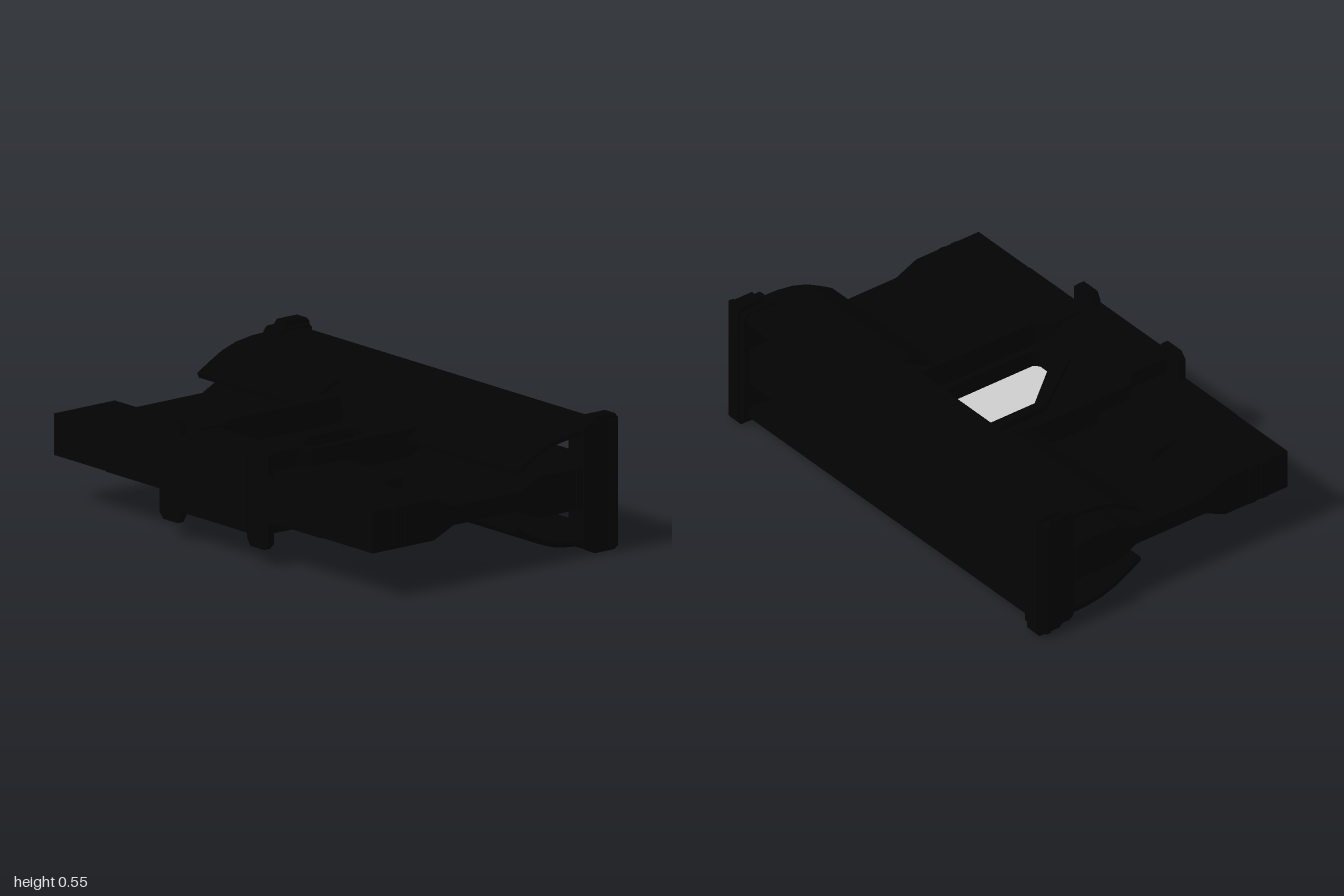
import * as THREE from 'three';

const MID = 0.275; // the body is symmetrical above and below this height

export function createModel() {
  const model = new THREE.Group();
  const black = new THREE.MeshStandardMaterial({ color: 0x030303 });
  black.name = 'black shell';
  const grey = new THREE.MeshStandardMaterial({ color: 0xcecece });
  grey.name = 'light grey pane';

  const add = (name, geo, mat = black) => {
    const mesh = new THREE.Mesh(geo, mat);
    mesh.name = name;
    model.add(mesh);
    return mesh;
  };
  const box = (name, x0, x1, y0, y1, z0, z1) => {
    const g = new THREE.BoxGeometry(x1 - x0, y1 - y0, z1 - z0);
    g.translate((x0 + x1) / 2, MID + (y0 + y1) / 2, (z0 + z1) / 2);
    return add(name, g);
  };
  const makeShape = (pts, holes = []) => {
    const vectors = (list) => list.map(([a, b]) => new THREE.Vector2(a, b));
    const s = new THREE.Shape(vectors(pts));
    holes.forEach((h) => s.holes.push(new THREE.Path(vectors(h))));
    return s;
  };
  // side profile of [z, y] points swept from x0 to x1
  const sweepX = (name, pts, x0, x1) => {
    const g = new THREE.ExtrudeGeometry(makeShape(pts.map(([z, y]) => [-z, y])),
      { depth: x1 - x0, bevelEnabled: false });
    g.rotateY(Math.PI / 2).translate(x0, MID, 0);
    return add(name, g);
  };
  // plan outline of [x, z] points raised from y0 to y1; holes wind the other way
  const raiseY = (name, pts, y0, y1, holes = [], mat = black) => {
    const neg = (list) => list.map(([x, z]) => [x, -z]);
    const g = new THREE.ExtrudeGeometry(makeShape(neg(pts), holes.map((h) => neg(h).reverse())),
      { depth: y1 - y0, bevelEnabled: false });
    g.rotateX(-Math.PI / 2).translate(0, MID + y0, 0);
    return add(name, g, mat);
  };
  const span = (s, a, b) => (s > 0 ? [a, b] : [-b, -a]);
  const mirrorY = (half) => [...half, ...half.map(([z, y]) => [z, -y]).reverse()];

  // Wing slabs: thick at the nose, waisted, thick again at the rear
  const wing = mirrorY([[0.618, 0.083], [0.31, 0.083], [0.21, 0.038],
    [-0.13, 0.038], [-0.22, 0.083], [-0.58, 0.083]]);
  for (const s of [1, -1]) {
    sweepX('wingSlab', wing, ...span(s, 0.29, 0.968));
    box('wingPanel', ...span(s, 0.3, 0.65), -0.086, 0.086, 0.2, 0.53);
    box('wingNose', ...span(s, 0.2, 0.65), -0.086, 0.086, 0.535, 0.618);
    for (const z of [0.44, 0.5, -0.42]) {
      box('endBracket', ...span(s, 0.95, 0.975), -0.08, 0.08, z - 0.015, z + 0.015);
    }
  }
  box('rearSpine', -0.29, 0.29, -0.083, 0.083, -0.58, -0.27);

  // Central frame: a raised wall open at the nose, with a stepped well inside
  raiseY('wellWall', [[-0.31, 0.36], [-0.31, -0.26], [-0.29, -0.28], [0.27, -0.28],
    [0.29, -0.26], [0.29, 0.36], [0.25, 0.41], [0.25, 0.615], [0.2, 0.615], [0.2, 0.4],
    [0.258, 0.34], [0.258, -0.25], [-0.26, -0.25], [-0.26, 0.34], [-0.2, 0.4],
    [-0.2, 0.615], [-0.25, 0.615], [-0.25, 0.41]], -0.153, 0.153);
  for (const s of [1, -1]) {
    const y = span(s, 0.11, 0.162);
    box('rearRidge', -0.3, 0.28, ...y, -0.29, -0.24);
    for (const side of [1, -1]) {
      box('wallPad', ...span(side, 0.2, 0.26), ...y, 0.4, 0.53);
    }
  }

  // Well floor with a narrow slot, raised rim and the pane set in it
  const opening = [[-0.09, -0.17], [-0.07, -0.19], [0.18, -0.19], [0.2, -0.17],
    [0.2, 0.28], [0.18, 0.3], [0.12, 0.3], [0.09, 0.28], [-0.09, 0.06]];
  const slot = [[0.254, -0.22], [0.257, -0.22], [0.257, 0.3], [0.254, 0.3]];
  raiseY('wellFloor', [[-0.3, -0.28], [0.28, -0.28], [0.28, 0.4], [-0.3, 0.4]],
    -0.045, 0.045, [opening, slot]);
  raiseY('paneRim', [[-0.13, -0.23], [0.23, -0.23], [0.23, 0.36], [0.07, 0.36],
    [-0.13, 0.08]], -0.075, 0.075, [opening]);
  raiseY('pane', opening, -0.004, 0.004, [], grey);
  box('noseFloor', -0.3, 0.3, -0.083, 0.083, 0.365, 0.615);

  // Nose block and its upright fins
  sweepX('noseBlock', mirrorY([[0.623, 0.153], [0.43, 0.153], [0.36, 0.07]]), -0.21, 0.21);
  for (const s of [1, -1]) {
    const fin = [[0.2, 0.17], [0.22, 0.205], [0.305, 0.205], [0.33, 0.18]];
    const g = new THREE.ExtrudeGeometry(makeShape(mirrorY(fin).map(([x, y]) => [s * x, y])),
      { depth: 0.03, bevelEnabled: false });
    add('noseFin', g.translate(0, MID, 0.585));
  }

  // Curved fenders and rear rails, above and below
  const outer = [[-0.105, 0.122], [-0.16, 0.155], [-0.23, 0.192], [-0.3, 0.215],
    [-0.38, 0.227], [-0.46, 0.229]];
  const inner = outer.map(([z, y]) => [z - 0.008, y - 0.019]).reverse();
  const middle = [[-0.28, 0.21], [-0.38, 0.227], [-0.46, 0.229],
    [-0.46, 0.207], [-0.38, 0.206], [-0.28, 0.192]];
  const rail = [[-0.44, 0.229], [-0.48, 0.243], [-0.575, 0.243], [-0.59, 0.23],
    [-0.59, 0.2], [-0.57, 0.19], [-0.44, 0.205]];
  for (const s of [1, -1]) {
    const turn = (pts) => pts.map(([z, y]) => [z, s * y]);
    for (const side of [1, -1]) {
      sweepX('fender', turn([...outer, ...inner]), ...span(side, 0.31, 0.968));
    }
    sweepX('fenderMiddle', turn(middle), -0.31, 0.31);
    sweepX('rearRail', turn(rail), -0.9, 0.9);
  }

  // End pillars: a deep plate, a taller core and a wide chamfered back cap
  const plate = mirrorY([[-0.443, 0.235], [-0.46, 0.252], [-0.6, 0.252], [-0.61, 0.24]]);
  const core = mirrorY([[-0.485, 0.25], [-0.505, 0.273], [-0.605, 0.273], [-0.62, 0.255]]);
  for (const s of [1, -1]) {
    sweepX('pillarPlate', plate, ...span(s, 0.88, 0.972));
    sweepX('pillarCore', core, ...span(s, 0.905, 0.965));
    raiseY('pillarCap', [[0.88, -0.575], [0.9, -0.56], [0.975, -0.56], [0.998, -0.575],
      [0.998, -0.595], [0.97, -0.612], [0.91, -0.612], [0.88, -0.595]]
      .map(([x, z]) => [s * x, z]), -0.252, 0.252);
  }
  return model;
}
